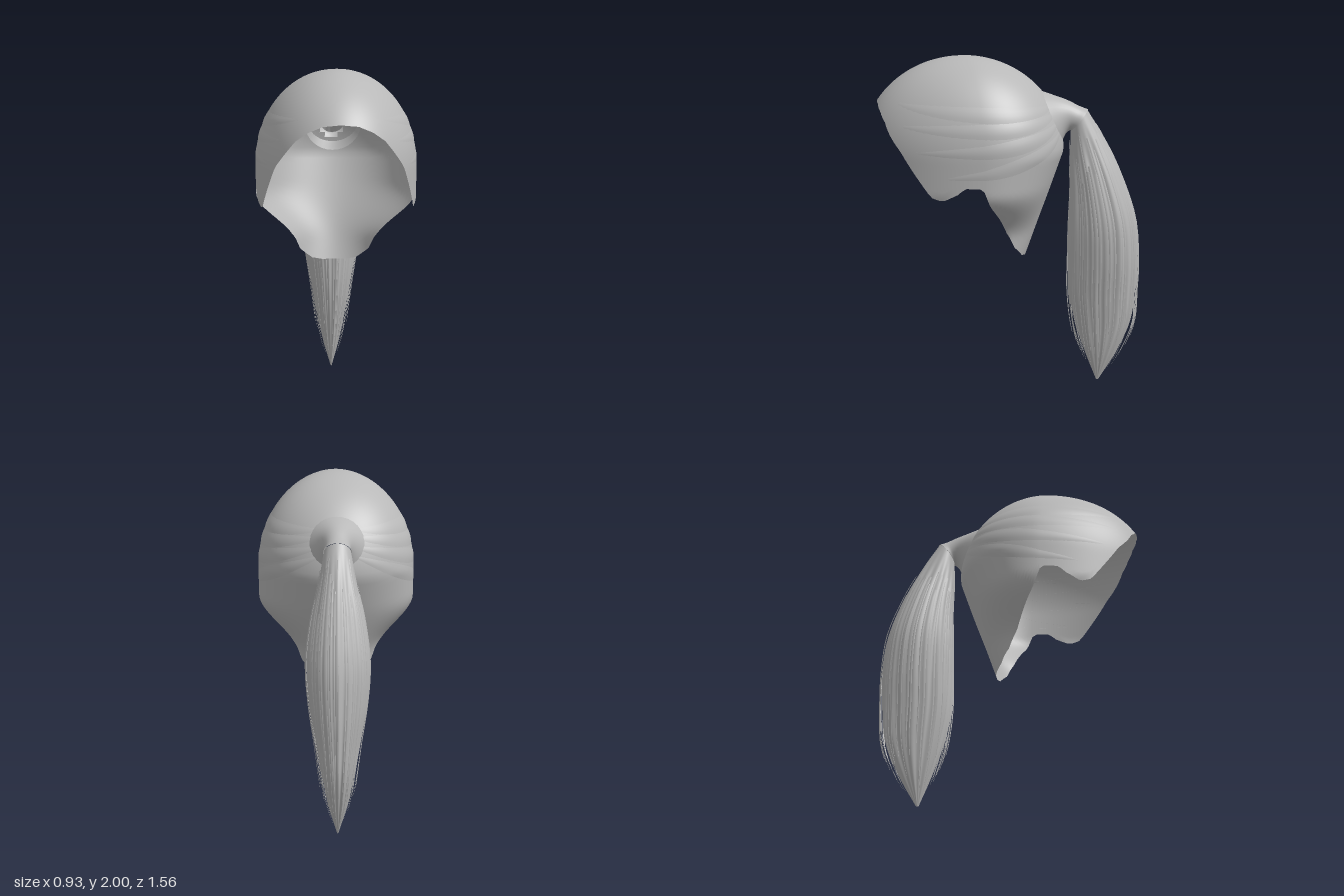
import * as THREE from 'three';

const { lerp, smoothstep } = THREE.MathUtils;

// Surface from a rule: fn(u, v) -> [x, y, z]; u runs along, v runs across or around.
// Faces starting at a point where skip(point) is true are left out.
function grid(fn, nu, nv, closed, skip = () => false) {
  const pts = [], idx = [], cols = closed ? nv : nv + 1;
  for (let i = 0; i <= nu; i++)
    for (let j = 0; j < cols; j++) pts.push(fn(i / nu, j / nv));
  for (let i = 0; i < nu; i++)
    for (let j = 0; j < nv; j++) {
      const a = i * cols + j, b = i * cols + (j + 1) % cols;
      if (!skip(pts[a])) idx.push(a, a + cols, b, b, a + cols, b + cols);
    }
  const g = new THREE.BufferGeometry();
  g.setAttribute('position', new THREE.Float32BufferAttribute(pts.flat(), 3));
  g.setIndex(idx);
  g.computeVertexNormals();
  return g;
}

function seeded(seed) {
  return () => (seed = (seed * 16807) % 2147483647) / 2147483647;
}

// Hairline height by angle in degrees: 0 is the forehead, 180 the nape
const HAIRLINE = [[0, 1.745], [14, 1.735], [25, 1.7], [34, 1.65], [49, 1.5], [65.5, 1.25], [71, 1.23],
  [79, 1.28], [81, 1.31], [89, 1.31], [95, 1.2], [103, 1.12], [114, 1.0], [129, 0.9], [150, 0.835], [165, 0.82], [180, 0.82]];

function hairline(theta) {
  let d = theta * 180 / Math.PI;
  if (d > 180) d = 360 - d;
  const i = Math.max(1, HAIRLINE.findIndex(([a]) => d <= a + 1e-6));
  const [a0, y0] = HAIRLINE[i - 1], [a1, y1] = HAIRLINE[i];
  return lerp(y0, y1, (d - a0) / (a1 - a0));
}

// Point on the head at an angle and height; oval outline, domed above the ears
function headPoint(theta, y, lift = 0) {
  const h = Math.max(0, (y - 1.45) / 0.55);
  const k = Math.sqrt(Math.max(0, 1 - h * h));
  const zc = 0.28 - 0.13 * k;
  const low = Math.max(0, 1.45 - y);
  const width = 0.465 * k - 0.2 * (1 - smoothstep(y, 0.95, 1.27)) + lift;
  const front = 0.28 + 0.595 * k - zc + lift;
  const back = zc - (0.28 - 0.59 * k) - low * 0.35 + lift;
  const c = Math.cos(theta);
  return [width * Math.sin(theta), y, zc + c * (c > 0 ? front : back)];
}

// Loft through tilted rings: [half width, outer y, outer z, under y, under z]
function ringLoft(rings) {
  const outer = new THREE.CatmullRomCurve3(rings.map(r => new THREE.Vector3(r[0], r[1], r[2])), false, 'catmullrom');
  const under = new THREE.CatmullRomCurve3(rings.map(r => new THREE.Vector3(0, r[3], r[4])), false, 'catmullrom');
  return (t, a, scale = 1) => {
    const o = outer.getPoint(t), u = under.getPoint(t), c = Math.cos(a) * scale;
    return [-Math.max(o.x, 0) * Math.sin(a) * scale,
      (o.y + u.y) / 2 + c * (o.y - u.y) / 2,
      (o.z + u.z) / 2 + c * (o.z - u.z) / 2];
  };
}

const collarPoint = ringLoft([
  [0.17, 1.79, -0.185, 1.46, -0.285], [0.115, 1.765, -0.26, 1.53, -0.315], [0.085, 1.74, -0.33, 1.555, -0.335],
  [0.075, 1.705, -0.40, 1.56, -0.345], [0.08, 1.685, -0.45, 1.56, -0.35]]);

const tailPoint = ringLoft([
  [0.08, 1.685, -0.45, 1.56, -0.35], [0.11, 1.52, -0.55, 1.40, -0.345], [0.155, 1.30, -0.655, 1.20, -0.35],
  [0.18, 1.05, -0.74, 1.00, -0.345], [0.165, 0.80, -0.765, 0.80, -0.345], [0.13, 0.58, -0.758, 0.58, -0.352],
  [0.095, 0.38, -0.73, 0.38, -0.39], [0.055, 0.18, -0.645, 0.18, -0.455], [0.004, 0, -0.54, 0, -0.525]]);

export function createModel() {
  const model = new THREE.Group();
  const hair = new THREE.MeshStandardMaterial({ color: 0xb8b8b8, side: THREE.DoubleSide });
  hair.name = 'hair grey';
  const add = (name, geometry, parent = model) => {
    const mesh = new THREE.Mesh(geometry, hair);
    mesh.name = name;
    parent.add(mesh);
  };
  const group = name => {
    const g = new THREE.Group();
    g.name = name;
    model.add(g);
    return g;
  };
  const TAU = Math.PI * 2;

  // Swept-back hair shell, open at the face and neck, with a hole into the collar
  add('hairCap', grid((u, v) => {
    const theta = v * TAU, rim = hairline(theta);
    return headPoint(theta, 2 - (2 - rim) * (1 - Math.cos(u * Math.PI / 2)));
  }, 48, 180, true, ([x, y, z]) => z < 0 && Math.hypot(x, y - 1.635) < 0.075));

  // Thin, barely raised locks combed from the temples to the tie
  const locks = group('combedLocks');
  const lockPaths = [[36, 1.76, 1.72], [46, 1.64, 1.68], [58, 1.5, 1.63], [72, 1.36, 1.58]];
  for (const side of [1, -1])
    for (const [deg, y0, y1] of lockPaths)
      add('combedLock', grid((u, v) => {
        const theta = side * lerp(deg, 168, u) * Math.PI / 180;
        const y = lerp(y0, y1, u) - 0.03 * Math.sin(u * Math.PI);
        const across = (v - 0.5) * 0.09 * Math.sin(Math.PI * (0.03 + 0.94 * u));
        return headPoint(theta, y + across, 0.004 * Math.sin(Math.PI * v) * Math.sin(Math.PI * u));
      }, 32, 4, false), locks);

  // Gathered neck of the ponytail
  add('ponytailCollar', grid((u, v) => collarPoint(u, v * TAU), 16, 32, true));

  // Ribbed body of the ponytail
  add('ponytail', grid((u, v) => {
    const rib = 0.03 * Math.cos(v * TAU * 17) + 0.03 * Math.cos(v * TAU * 7 + u * 3);
    return tailPoint(u, v * TAU, 0.96 + rib * smoothstep(u, 0, 0.25));
  }, 48, 136, true));

  // Loose tapering strands around the tail, ending at uneven heights
  const strands = group('ponytailStrands');
  const random = seeded(77);
  for (let n = 0; n < 44; n++) {
    const angle = (n + random() * 0.7) / 44 * TAU;
    const start = 0.04 + random() * 0.2, end = 0.78 + random() * 0.17;
    const half = 0.035 + random() * 0.035, lift = 0.97 + random() * 0.05;
    add('strand', grid((u, v) => {
      const spread = (v - 0.5) * 2 * half * Math.sqrt(1 - u);
      const flare = 0.03 * u + 0.25 * u ** 6;
      return tailPoint(lerp(start, end, u), angle + spread, lift + flare + 0.02 * Math.sin(Math.PI * v));
    }, 22, 2, false), strands);
  }
  return model;
}
